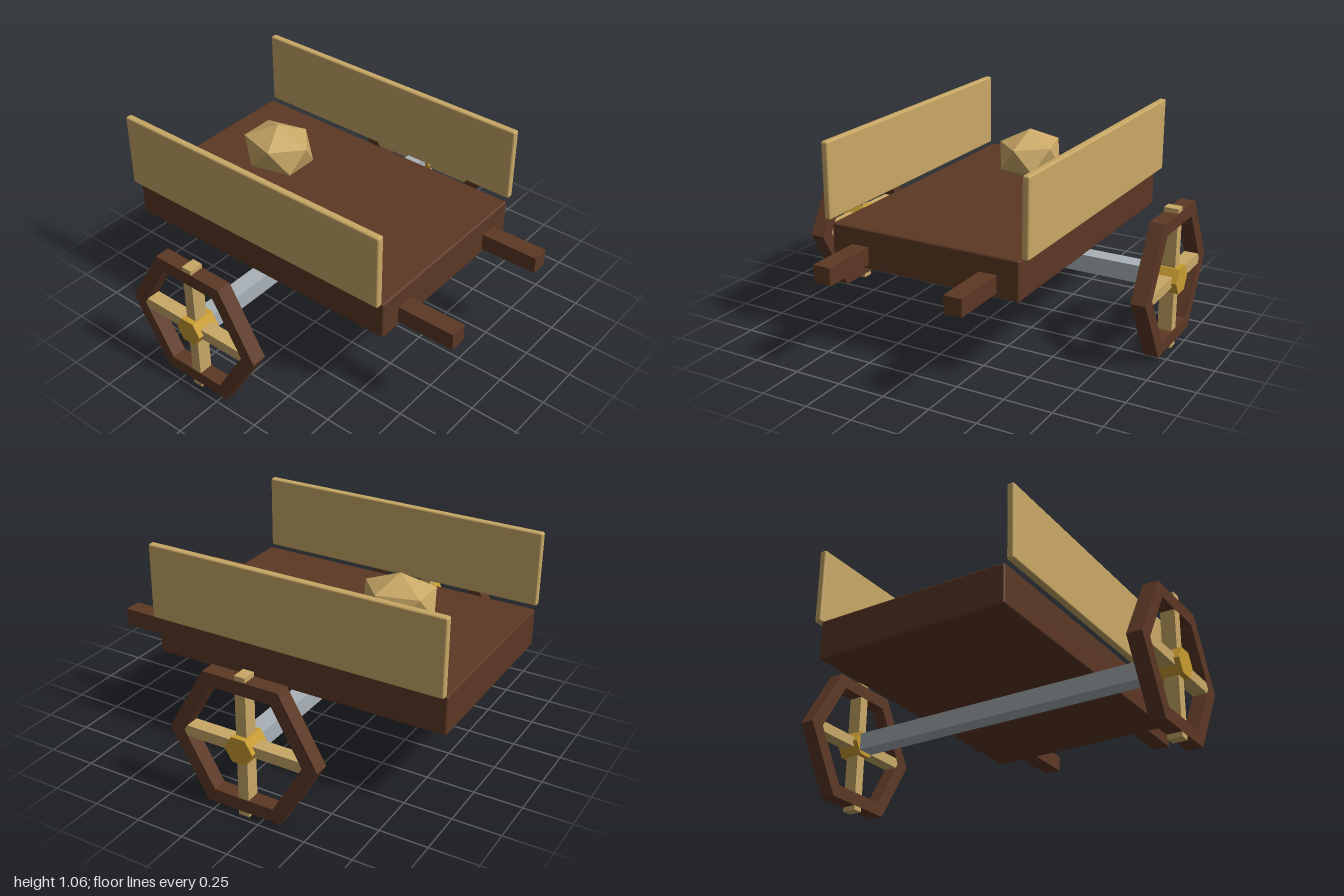
import * as THREE from 'three';
import { RoundedBoxGeometry } from 'three/addons/geometries/RoundedBoxGeometry.js';

const paint = (name, color) => {
  const m = new THREE.MeshStandardMaterial({ color });
  m.name = name;
  return m;
};

export function createModel() {
  const darkWood = paint('dark wood', 0x5c3825);
  const paleWood = paint('pale wood', 0xc9a866);
  const steel = paint('steel', 0xa9b2b8);
  const brass = paint('brass', 0xc89c30);

  const cart = new THREE.Group();
  cart.name = 'cart';

  const add = (parent, name, geometry, material, x = 0, y = 0, z = 0) => {
    const mesh = new THREE.Mesh(geometry, material);
    mesh.name = name;
    mesh.position.set(x, y, z);
    parent.add(mesh);
    return mesh;
  };

  // Bed with softened edges
  add(cart, 'bed', new RoundedBoxGeometry(1.6, 0.205, 1.036, 2, 0.01), darkWood, -0.155, 0.5475, 0);

  // Hexagon ring of the wheel, corners pointing along x
  const hexagon = (Type, r) => {
    const points = [];
    for (let i = 0; i < 6; i++) {
      const a = (i * Math.PI) / 3;
      points.push(new THREE.Vector2(r * Math.cos(a), r * Math.sin(a)));
    }
    return new Type(points);
  };
  const rimShape = hexagon(THREE.Shape, 0.4);
  rimShape.holes.push(hexagon(THREE.Path, 0.32));
  const rimGeometry = new THREE.ExtrudeGeometry(rimShape, { depth: 0.078, bevelEnabled: false });
  rimGeometry.translate(0, 0, -0.039);

  // Six-sided hub with flat faces
  const hubBase = new THREE.CylinderGeometry(0.075, 0.075, 0.13, 6, 1, false, Math.PI / 2);
  hubBase.rotateX(Math.PI / 2);
  const hubGeometry = hubBase.toNonIndexed();
  hubGeometry.computeVertexNormals();

  for (const side of [1, -1]) {
    const label = side > 0 ? 'front' : 'back';

    // Upright side board, pull handle and wheel on each side
    add(cart, label + 'SideBoard', new RoundedBoxGeometry(1.6, 0.398, 0.038, 2, 0.01), paleWood,
      -0.155, 0.857, side * 0.547);
    add(cart, label + 'Handle', new THREE.BoxGeometry(0.33, 0.09, 0.093), darkWood,
      0.79, 0.515, side * 0.355);

    const wheel = new THREE.Group();
    wheel.name = label + 'Wheel';
    wheel.position.set(-0.155, 0.37, side * 0.935);
    add(wheel, 'rim', rimGeometry, darkWood);
    add(wheel, 'uprightSpoke', new THREE.BoxGeometry(0.056, 0.74, 0.074), paleWood);
    add(wheel, 'levelSpoke', new THREE.BoxGeometry(0.74, 0.056, 0.074), paleWood);
    add(wheel, 'hub', hubGeometry, brass);
    cart.add(wheel);
  }

  // Square axle joining the wheels
  add(cart, 'axle', new THREE.BoxGeometry(0.092, 0.092, 1.84), steel, -0.155, 0.37, 0);

  // Faceted lump of cargo, standing on one corner
  const cargo = new THREE.IcosahedronGeometry(1, 0);
  cargo.rotateZ(-Math.atan(2 / (1 + Math.sqrt(5))));
  cargo.scale(0.213, 0.14, 0.177);
  add(cart, 'cargo', cargo, paleWood, -0.442, 0.795, 0);

  return cart;
}
